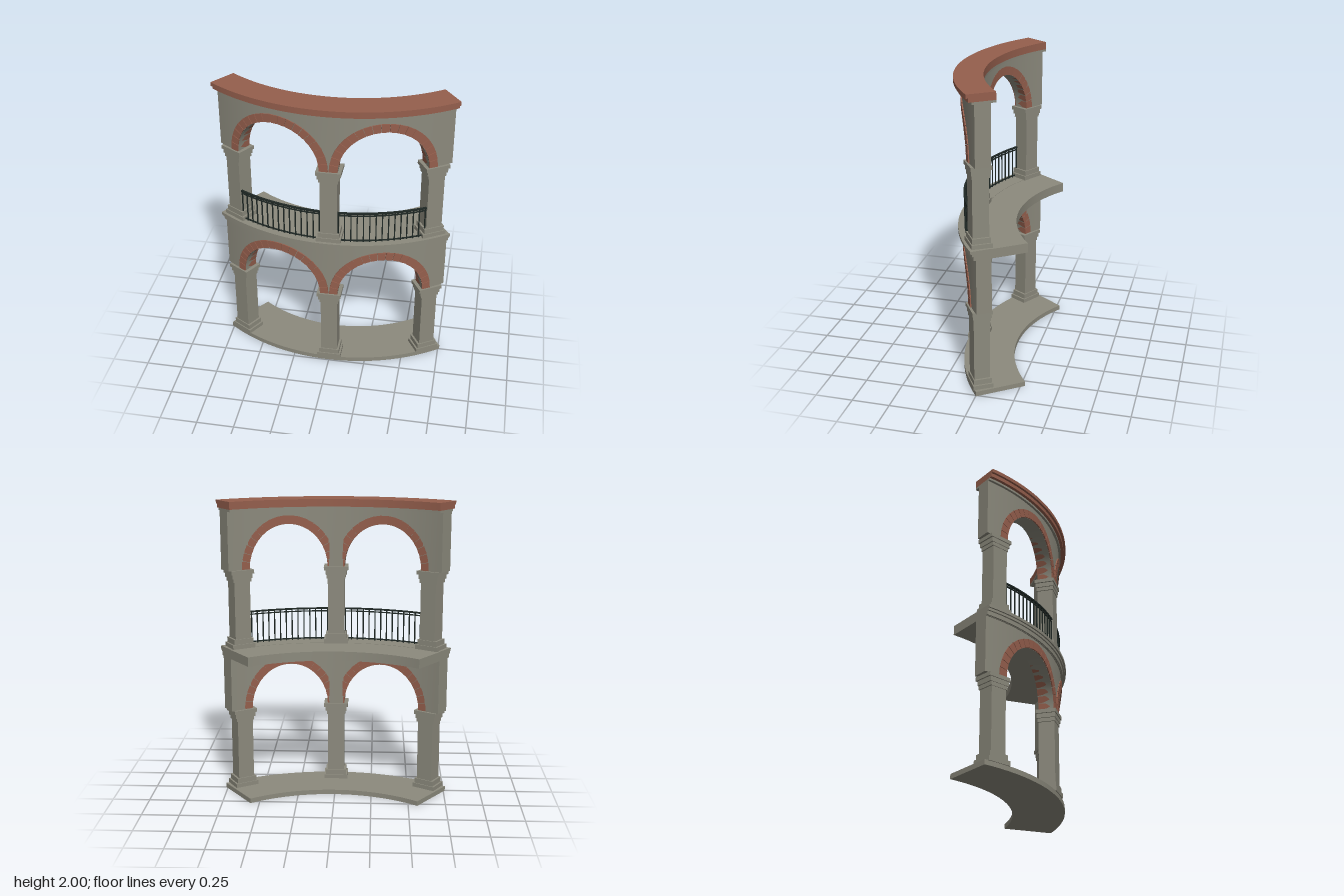
import * as THREE from 'three';
import { mergeGeometries, toCreasedNormals } from 'three/addons/utils/BufferGeometryUtils.js';

const CZ = -1.05;                       // z of the axis the arcade curves around
const END = Math.PI / 5;                // half angle of the whole curve
const R_IN = 1.182, R_OUT = 1.284;      // wall faces
const R_MID = (R_IN + R_OUT) / 2;
const PIER = 31.3 * Math.PI / 180;      // angle of the end piers
const BAY = PIER / 2;                   // angle of the arch centres
const ARCH = 0.29, ARCH_OUT = 0.347;    // arch radii
const STONES = 19;

const mat = (name, color) => Object.assign(new THREE.MeshStandardMaterial({ color }), { name });

function mesh(name, geometry, material) {
  const m = new THREE.Mesh(geometry, material);
  m.name = name;
  return m;
}

// Evenly spaced angles
const span = (a, b, n) => Array.from({ length: n + 1 }, (_, i) => a + (b - a) * i / n);

// Solid bent around the axis; low(angle) gives its underside
function curved(r0, r1, angles, low, top) {
  const pos = [];
  const P = (r, a, y) => [r * Math.sin(a), y, CZ + r * Math.cos(a)];
  const quad = (p, q, r, s) => pos.push(...p, ...q, ...r, ...p, ...r, ...s);
  for (let i = 0; i < angles.length - 1; i++) {
    const a = angles[i], b = angles[i + 1], la = low(a), lb = low(b);
    quad(P(r1, a, la), P(r1, b, lb), P(r1, b, top), P(r1, a, top));
    quad(P(r0, b, lb), P(r0, a, la), P(r0, a, top), P(r0, b, top));
    quad(P(r1, a, top), P(r1, b, top), P(r0, b, top), P(r0, a, top));
    quad(P(r0, a, la), P(r0, b, lb), P(r1, b, lb), P(r1, a, la));
  }
  const a = angles[0], b = angles[angles.length - 1];
  quad(P(r1, b, low(b)), P(r0, b, low(b)), P(r0, b, top), P(r1, b, top));
  quad(P(r0, a, low(a)), P(r1, a, low(a)), P(r1, a, top), P(r0, a, top));
  const g = new THREE.BufferGeometry();
  g.setAttribute('position', new THREE.Float32BufferAttribute(pos, 3));
  g.computeVertexNormals();
  return toCreasedNormals(g, 0.5);
}

const ring = (r0, r1, y0, y1, a0 = -END, a1 = END, n = 48) =>
  curved(r0, r1, span(a0, a1, n), () => y0, y1);

// Put a geometry, modelled facing +z, at a radius and angle on the curve
const place = (g, r, a, y) => g.translate(0, y, r).rotateY(a).translate(0, 0, CZ);

// Wall with two arched openings
function archWall(spring, top) {
  const half = ARCH / R_OUT;
  const opening = c => Array.from({ length: 41 }, (_, i) => c - half * Math.cos(Math.PI * i / 40));
  const angles = [...span(-END, -BAY - half, 4).slice(0, -1), ...opening(-BAY),
    ...opening(BAY), ...span(BAY + half, END, 4).slice(1)];
  const low = a => {
    const s = (Math.abs(a) - BAY) * R_OUT;
    return spring + Math.sqrt(Math.max(0, ARCH * ARCH - s * s));
  };
  return curved(R_IN, R_OUT, angles, low, top);
}

// Wedge-shaped bricks around one arch
function archBricks(bay, spring) {
  const parts = [], step = Math.PI / STONES, r0 = ARCH + 0.0005, rm = (r0 + ARCH_OUT) / 2;
  const back = R_IN - 0.0005, depth = R_OUT + 0.007 - back;
  for (let i = 0; i < STONES; i++) {
    const phi = (i + 0.5) * step;
    const wi = r0 * step * 0.47, wo = ARCH_OUT * step * 0.47;
    const shape = new THREE.Shape([
      new THREE.Vector2(-wi, r0 - rm), new THREE.Vector2(wi, r0 - rm),
      new THREE.Vector2(wo, ARCH_OUT - rm), new THREE.Vector2(-wo, ARCH_OUT - rm)]);
    const g = new THREE.ExtrudeGeometry(shape, { depth, bevelEnabled: false });
    g.rotateZ(phi - Math.PI / 2);
    parts.push(place(g, back, bay + rm * Math.cos(phi) / R_OUT, spring + rm * Math.sin(phi)));
  }
  return mergeGeometries(parts);
}

// Square pier with stepped base and capital: [bottom, top, width, depth]
function pier(angle, y0, spring) {
  const tiers = [
    [y0, y0 + 0.03, 0.164, 0.134],
    [y0 + 0.03, y0 + 0.065, 0.14, 0.12],
    [y0 + 0.065, spring - 0.08, 0.112, 0.106],
    [spring - 0.08, spring - 0.055, 0.128, 0.114],
    [spring - 0.055, spring - 0.025, 0.144, 0.122],
    [spring - 0.025, spring, 0.164, 0.134],
  ];
  return mergeGeometries(tiers.map(([a, b, w, d]) =>
    place(new THREE.BoxGeometry(w, b - a, d), R_MID, angle, (a + b) / 2)));
}

// Iron railing between two piers
function railing(bay) {
  const a0 = bay - BAY + 0.045, a1 = bay + BAY - 0.045, r = 1.276;
  const rail = (y0, y1, w) => ring(r - w, r + w, y0, y1, a0, a1, 16);
  const parts = [rail(1.234, 1.244, 0.007), rail(1.217, 1.224, 0.004), rail(1.026, 1.034, 0.004)];
  for (const a of span(a0 + 0.004, a1 - 0.004, 14)) {
    const bar = new THREE.BoxGeometry(0.007, 0.216, 0.007).toNonIndexed();
    parts.push(place(bar, r, a, 1.128));
  }
  for (const g of parts) g.deleteAttribute('uv');
  return mergeGeometries(parts);
}

export function createModel() {
  const model = new THREE.Group();
  model.name = 'curvedArcade';
  const stone = mat('stone', 0x8c8a7d);
  const brick = mat('terracotta', 0x955f4d);
  const iron = mat('darkIron', 0x1f2825);
  const add = (name, g, m) => model.add(mesh(name, g, m));

  // Ground slab, gallery floor and its string course
  add('groundSlab', ring(0.952, 1.295, 0, 0.032), stone);
  add('galleryFloor', ring(0.942, 1.29, 0.953, 1.016), stone);
  add('stringCourseLower', ring(R_IN, 1.3, 0.955, 0.982), stone);
  add('stringCourseMiddle', ring(R_IN, 1.31, 0.982, 0.998), stone);
  add('stringCourseUpper', ring(R_IN, 1.32, 0.998, 1.018), stone);

  // Two storeys of piers, walls and arches
  const storeys = [['lower', 0.03, 0.585, 0.955], ['upper', 1.016, 1.545, 1.94]];
  for (const [storey, base, spring, top] of storeys) {
    add(storey + 'Wall', archWall(spring, top), stone);
    for (const a of [-PIER, 0, PIER]) add(storey + 'Pier', pier(a, base, spring), stone);
    for (const a of [-BAY, BAY]) add(storey + 'ArchBricks', archBricks(a, spring), brick);
  }

  // Railings
  for (const a of [-BAY, BAY]) add('railing', railing(a), iron);

  // Cornice
  add('corniceBed', ring(1.148, 1.3, 1.935, 1.95), stone);
  add('corniceLower', ring(1.148, 1.32, 1.95, 1.975), brick);
  add('corniceTop', ring(1.148, 1.335, 1.975, 2), brick);
  return model;
}
